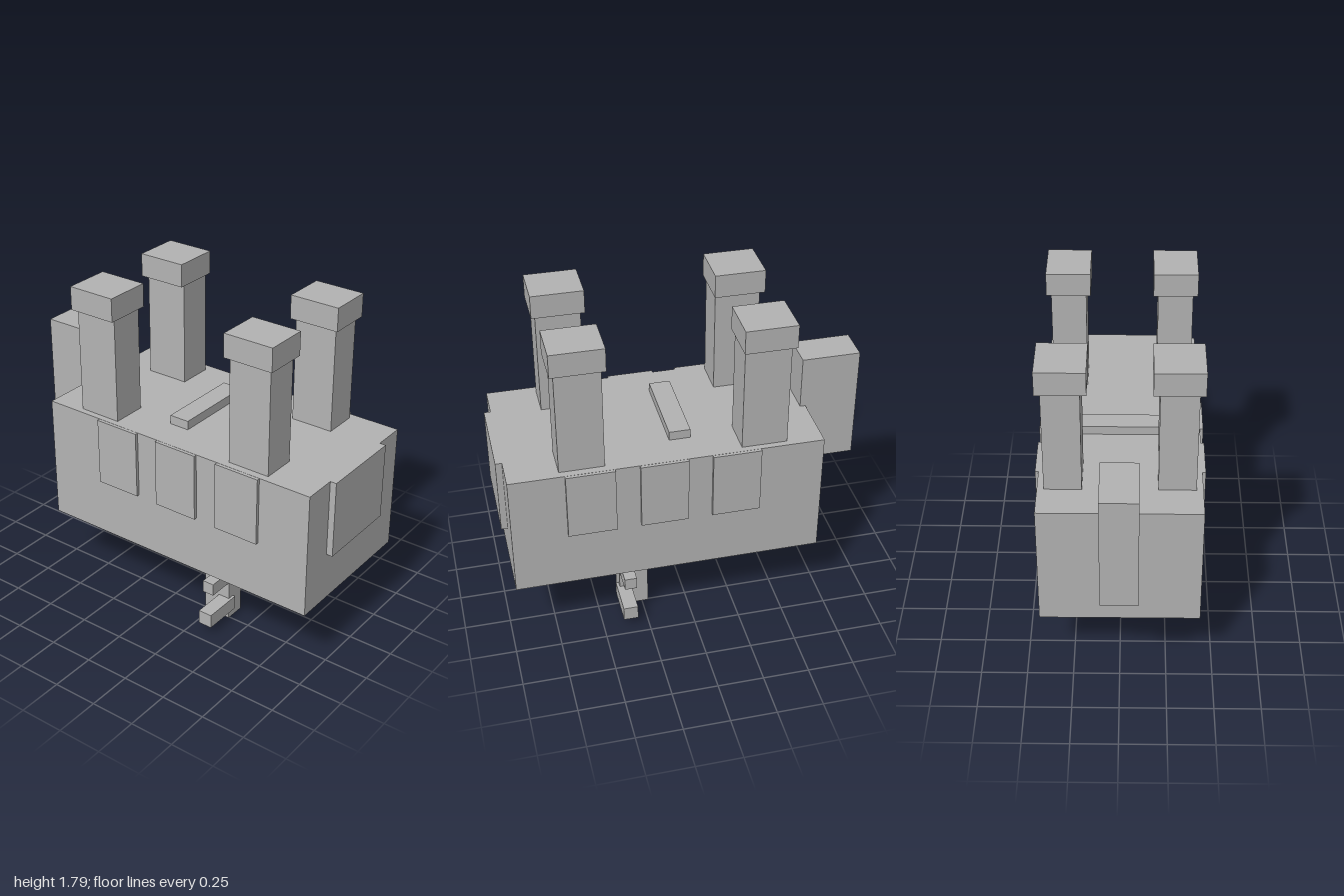
import * as THREE from 'three';

export function createModel() {
  const model = new THREE.Group();
  model.name = 'model';
  const grey = new THREE.MeshStandardMaterial({ color: 0xb3b3b3 });
  grey.name = 'grey';

  // Box given by its extents on each axis
  function block(name, [x0, x1], [y0, y1], [z0, z1]) {
    const mesh = new THREE.Mesh(new THREE.BoxGeometry(x1 - x0, y1 - y0, z1 - z0), grey);
    mesh.position.set((x0 + x1) / 2, (y0 + y1) / 2, (z0 + z1) / 2);
    mesh.name = name;
    model.add(mesh);
  }

  // The same box on both sides
  function pair(name, [x0, x1], y, z) {
    block(name + 'Left', [x0, x1], y, z);
    block(name + 'Right', [-x1, -x0], y, z);
  }

  // Body with its front plate, back block and top bar
  block('body', [-0.425, 0.425], [0.375, 1.08], [-0.71, 0.965]);
  block('frontPlate', [-0.24, 0.24], [0.65, 1.08], [0.96, 1.0]);
  block('backBlock', [-0.097, 0.097], [0.73, 1.375], [-1.0, -0.68]);
  block('topBar', [-0.24, 0.24], [1.07, 1.13], [-0.03, 0.085]);

  // Side plates
  [[0.41, 0.67], [0.025, 0.28], [-0.365, -0.105]].forEach((z, i) =>
    pair('sidePlate' + (i + 1), [0.42, 0.443], [0.7, 1.079], z));

  // Stacked plates on the underside
  block('bellyPlate', [-0.36, 0.36], [0.33, 0.38], [-0.435, 0.775]);
  block('lowerBellyPlate', [-0.34, 0.34], [0.313, 0.335], [0.415, 0.774]);
  block('bellyBar', [-0.34, 0.34], [0.345, 0.38], [-0.45, -0.43]);

  // Tall capped posts
  pair('frontPost', [0.195, 0.385], [1.07, 1.67], [0.455, 0.695]);
  pair('frontPostCap', [0.17, 0.41], [1.665, 1.795], [0.435, 0.717]);
  pair('backPost', [0.195, 0.39], [1.07, 1.67], [-0.515, -0.27]);
  pair('backPostCap', [0.162, 0.418], [1.665, 1.795], [-0.535, -0.26]);

  // Short legs with two side arms each
  pair('leg', [0.145, 0.258], [0, 0.33], [0.215, 0.375]);
  pair('upperArm', [0.25, 0.4], [0.23, 0.3], [0.305, 0.372]);
  pair('lowerArm', [0.22, 0.443], [0.05, 0.13], [0.31, 0.39]);

  return model;
}
